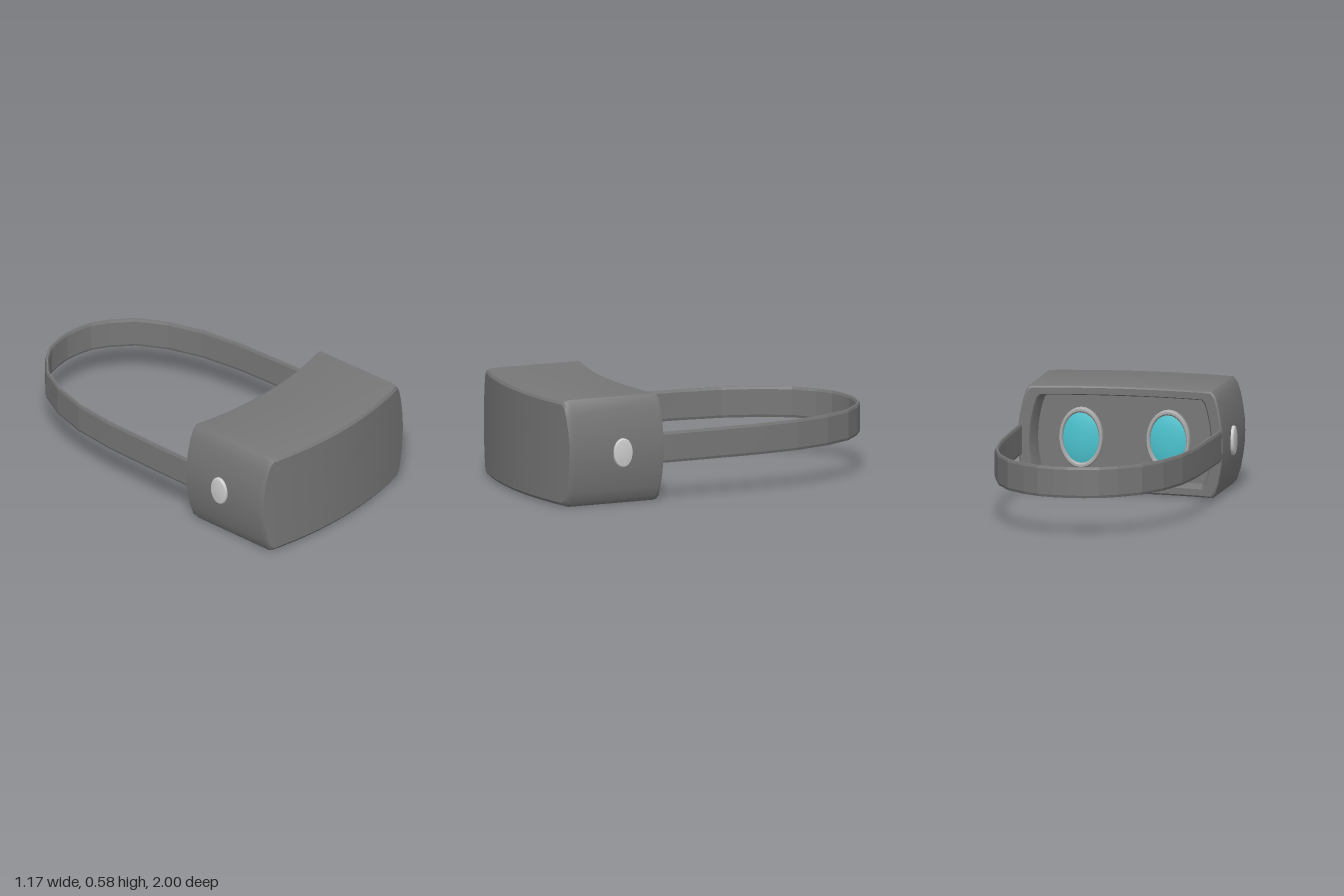
import * as THREE from 'three';
import { toCreasedNormals } from 'three/addons/utils/BufferGeometryUtils.js';

const MID_Y = 0.2925;
const paint = (color) => new THREE.MeshStandardMaterial({ color });
const shellPaint = paint(0x777777);
const ringPaint = paint(0xaaaaaa);
const lensPaint = paint(0x4cc4d0);
const buttonPaint = paint(0xcccccc);

function addMesh(parent, name, geometry, material) {
  const mesh = new THREE.Mesh(geometry, material);
  mesh.name = name;
  parent.add(mesh);
  return mesh;
}

// Skin a list of equal-length loops of [x, y, z]; optionally join last loop to first
function skin(loops, closed, crease) {
  const n = loops[0].length;
  const index = [];
  const last = closed ? loops.length : loops.length - 1;
  for (let k = 0; k < last; k++) {
    const a = k * n, b = ((k + 1) % loops.length) * n;
    for (let i = 0; i < n; i++) {
      const j = (i + 1) % n;
      index.push(a + i, b + i, b + j, a + i, b + j, a + j);
    }
  }
  const geometry = new THREE.BufferGeometry();
  geometry.setAttribute('position', new THREE.Float32BufferAttribute(loops.flat(2), 3));
  geometry.setIndex(index);
  geometry.computeVertexNormals();
  return toCreasedNormals(geometry, crease);
}

// Counter-clockwise front outline: bowed sides, straight top and bottom
function bodyOutline() {
  const half = [[0.573, 0], [0.57, 0.07], [0.561, 0.14], [0.546, 0.215], [0.528, 0.27], [0.508, 0.2925]];
  const points = [...half];
  for (let i = 1; i < 16; i++) points.push([0.508 * (1 - i / 8), 0.2925]);
  for (let i = half.length - 1; i > 0; i--) points.push([-half[i][0], half[i][1]]);
  return points.concat(points.map(([x, y]) => [-x, -y]));
}

// Shell: front face, outer wall, rear rim, cavity wall and cavity floor
function createBody() {
  const front = (d) => (x) => 1 - d - 0.08 * (x / 0.57) ** 2;
  const back = (d) => (x) => 0.44 + d - 0.085 * (x / 0.57) ** 2;
  const floor = () => 0.5;
  const sections = [
    [0, 0, front(0)], [0.3, 0.3, front(0)], [0.6, 0.6, front(0)], [0.85, 0.8, front(0)],
    [0.995, 0.92, front(0)], [1, 0.97, front(0.01)], [1, 1, front(0.035)],
    [0.99, 1, back(0.025)], [0.985, 0.985, back(0.006)], [0.97, 0.96, back(0)],
    [0.88, 0.84, back(0)], [0.865, 0.82, back(0.012)],
    [0.84, 0.79, floor], [0, 0, floor],
  ];
  const outline = bodyOutline();
  const loops = sections.map(([sx, sy, z]) =>
    outline.map(([x, y]) => [x * sx, MID_Y + y * sy, z(x * sx)]));
  return skin(loops, false, 0.5);
}

// Head strap: chamfered band section swept around a U-shaped path
function createStrap() {
  const half = [[0.55, 0.41], [0.55, 0.3], [0.546, 0.1], [0.537, -0.2], [0.507, -0.45],
    [0.447, -0.65], [0.362, -0.807], [0.254, -0.906], [0.166, -0.96], [0.08, -0.982]];
  const path = [...half, [0, -0.99], ...half.map(([x, z]) => [-x, z]).reverse()];
  const section = [[0.01, -0.07], [0.01, 0.07], [0.005, 0.084], [-0.005, 0.084],
    [-0.01, 0.07], [-0.01, -0.07], [-0.005, -0.084], [0.005, -0.084]];
  const loops = path.map(([x, z], i) => {
    const p = path[Math.max(i - 1, 0)], q = path[Math.min(i + 1, path.length - 1)];
    const dx = q[0] - p[0], dz = q[1] - p[1], len = Math.hypot(dx, dz);
    // Outward direction in the ground plane
    const nx = -dz / len, nz = dx / len;
    return section.map(([o, y]) => [x + nx * o, MID_Y + y, z + nz * o]);
  });
  return skin(loops, false, 0.15);
}

function lathe(profile) {
  const points = profile.map(([r, h]) => new THREE.Vector2(r, h));
  return toCreasedNormals(new THREE.LatheGeometry(points, 32), 0.5);
}

export function createModel() {
  const model = new THREE.Group();
  model.name = 'headset';
  addMesh(model, 'body', createBody(), shellPaint);
  const strap = addMesh(model, 'headStrap', createStrap(), shellPaint.clone());
  strap.material.side = THREE.DoubleSide;

  for (const side of [1, -1]) {
    const label = side > 0 ? 'left' : 'right';

    // Oval eyepiece on the cavity floor, facing backwards
    const eyepiece = new THREE.Group();
    eyepiece.name = label + 'Eyepiece';
    eyepiece.position.set(side * 0.24, MID_Y, 0.503);
    eyepiece.rotation.x = -Math.PI / 2;
    eyepiece.scale.z = 1.38;
    addMesh(eyepiece, 'lensRing', lathe([[0.12, 0], [0.12, 0.03], [0.115, 0.038],
      [0.106, 0.038], [0.1, 0.03], [0.1, 0.005]]), ringPaint);
    addMesh(eyepiece, 'lens', lathe([[0.102, 0.016], [0.085, 0.022], [0.06, 0.028],
      [0.03, 0.031], [0, 0.032]]), lensPaint);
    model.add(eyepiece);

    // Oval button on the side wall
    const button = addMesh(model, label + 'Button', lathe([[0.056, 0], [0.056, 0.032],
      [0.052, 0.038], [0.045, 0.04], [0, 0.04]]), buttonPaint);
    button.position.set(side * 0.545, 0.285, 0.607);
    button.rotation.z = -side * Math.PI / 2;
    button.scale.x = 1.42;
  }
  return model;
}
